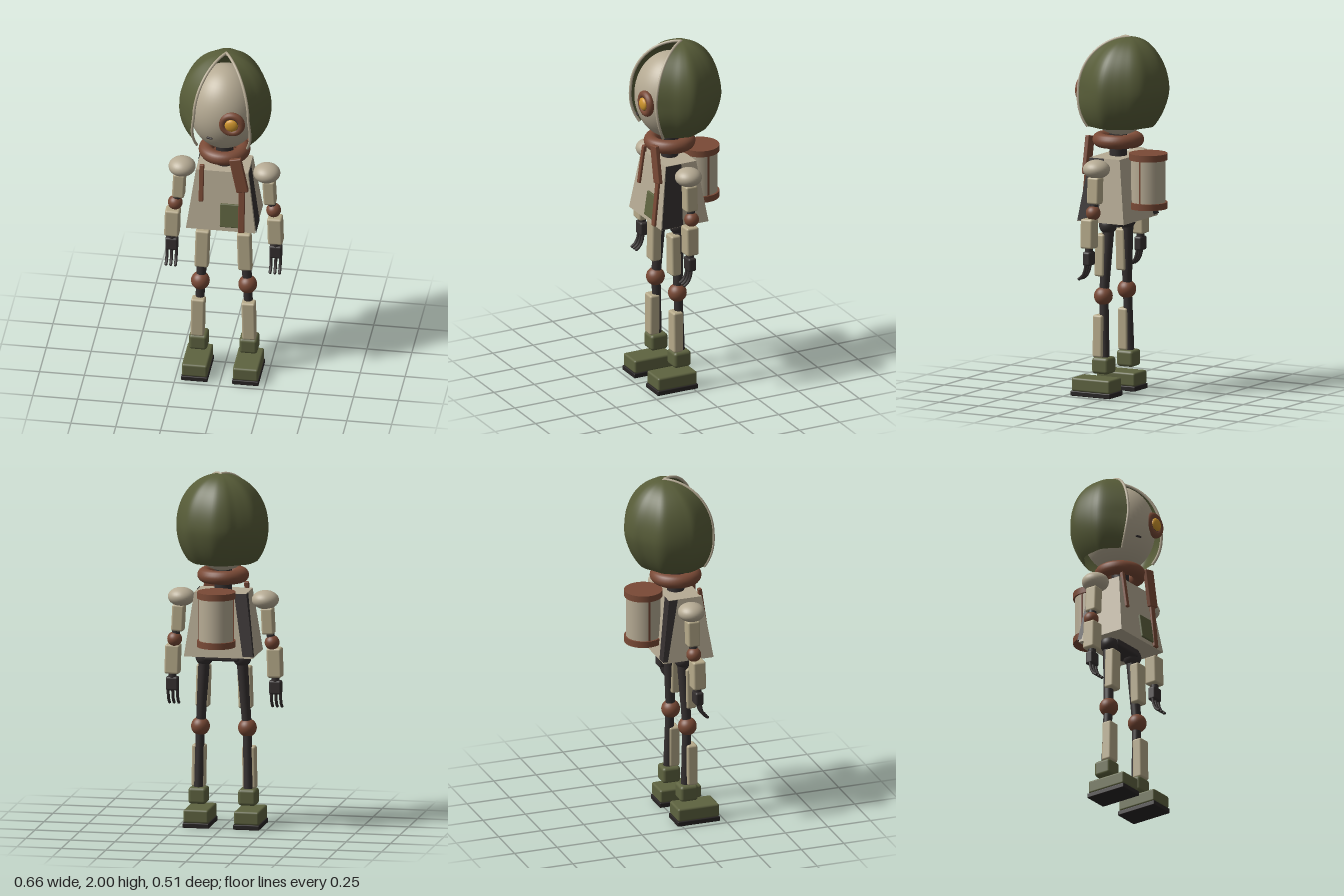
import * as THREE from 'three';
import { RoundedBoxGeometry } from 'three/addons/geometries/RoundedBoxGeometry.js';

const mat = (name, color) => Object.assign(new THREE.MeshStandardMaterial({ color }), { name });

export function createModel() {
  const root = new THREE.Group();
  root.name = 'robot';
  const bone = mat('bone', 0xb6ab94), tan = mat('tan', 0xb6aa8a), olive = mat('olive', 0x5e6340);
  const cloth = mat('hoodCloth', 0x575c38), brown = mat('leather', 0x7a4a36), dark = mat('darkMetal', 0x353030);
  const sole = mat('sole', 0x282424), amber = mat('amber', 0xd0962c);
  for (const m of [cloth, dark]) m.side = THREE.DoubleSide;

  const add = (parent, name, geo, material, x = 0, y = 0, z = 0) => {
    const mesh = new THREE.Mesh(geo, material);
    mesh.name = name;
    mesh.position.set(x, y, z);
    parent.add(mesh);
    return mesh;
  };
  const rbox = (w, h, d, r = 0.012) => new RoundedBoxGeometry(w, h, d, 3, r);
  const ball = (r) => new THREE.SphereGeometry(r, 32, 20);
  // Round rod between two points
  const rod = (parent, name, a, b, ra, rb, material) => {
    const p = new THREE.Vector3(...a), q = new THREE.Vector3(...b), d = q.clone().sub(p);
    const mesh = add(parent, name, new THREE.CylinderGeometry(rb, ra, d.length(), 18), material);
    mesh.position.copy(p).lerp(q, 0.5);
    mesh.quaternion.setFromUnitVectors(new THREE.Vector3(0, 1, 0), d.normalize());
    return mesh;
  };

  // Head and face
  const head = new THREE.Group();
  head.name = 'head';
  root.add(head);
  add(head, 'skull', new THREE.SphereGeometry(1, 48, 32), bone, 0, 1.693, 0.03).scale.set(0.2, 0.248, 0.205);
  const eye = new THREE.Group();
  eye.name = 'eye';
  eye.position.set(0.067, 1.695, 0.222);
  head.add(eye);
  add(eye, 'eyeRing', new THREE.TorusGeometry(0.053, 0.021, 14, 40), brown);
  add(eye, 'eyeSocket', new THREE.CylinderGeometry(0.055, 0.055, 0.03, 32), dark).rotation.x = Math.PI / 2;
  add(eye, 'eyeLens', ball(0.037), amber, 0, 0, 0.016).scale.z = 0.48;
  add(head, 'mouth', rbox(0.034, 0.01, 0.012, 0.004), dark, -0.058, 1.585, 0.209).rotation.y = -0.3;

  // Hood: a wavy plan outline scaled by an elliptical height profile, open in front
  const plan = new THREE.SplineCurve([
    [0.157, 0.234], [0.198, 0.163], [0.234, 0.109], [0.257, 0.042], [0.234, -0.034], [0.211, -0.088],
    [0.189, -0.132], [0.154, -0.171], [0.1, -0.195], [0.046, -0.216], [0, -0.227], [-0.043, -0.221],
    [-0.088, -0.204], [-0.118, -0.18], [-0.168, -0.146], [-0.218, -0.105], [-0.239, -0.052],
    [-0.25, 0.048], [-0.239, 0.118], [-0.148, 0.236],
  ].map(([x, z]) => new THREE.Vector2(x, z))).getSpacedPoints(72);
  const rows = 30, cols = plan.length;
  const hoodPoint = (i, j) => {
    const phi = (i / rows) * 2.3, low = Math.max(0, -Math.cos(phi)) / 0.667;
    const p = plan[j], a = Math.atan2(p.x, p.y) + 0.16 * low * (1 - 2 * j / (cols - 1));
    const r = p.length() * Math.sin(phi);
    return new THREE.Vector3(Math.sin(a) * r, 1.7 + 0.297 * Math.cos(phi), -0.03 + 0.03 * low + Math.cos(a) * r);
  };
  const pos = [], index = [];
  for (let i = 0; i <= rows; i++) for (let j = 0; j < cols; j++) {
    pos.push(...hoodPoint(Math.max(i, 0.01), j).toArray());
    if (i === rows || j === cols - 1) continue;
    const a = i * cols + j, b = a + cols;
    index.push(a, b, a + 1, b, b + 1, a + 1);
  }
  const hoodGeo = new THREE.BufferGeometry();
  hoodGeo.setAttribute('position', new THREE.Float32BufferAttribute(pos, 3));
  hoodGeo.setIndex(index);
  hoodGeo.computeVertexNormals();
  add(head, 'hood', hoodGeo, cloth);
  for (const j of [0, cols - 1]) {
    const path = new THREE.CatmullRomCurve3(Array.from({ length: 16 }, (_, k) => hoodPoint(k * 2, j)));
    add(head, 'hoodTrim', new THREE.TubeGeometry(path, 40, 0.008, 8), bone);
  }
  add(head, 'hoodButton', ball(0.013), bone, 0, 1.99, -0.03).scale.y = 0.7;

  // Neck and scarf
  rod(root, 'neck', [0, 1.3, 0.04], [0, 1.5, 0.04], 0.048, 0.048, dark);
  const scarf = add(root, 'scarf', new THREE.TorusGeometry(0.104, 0.039, 16, 48), brown, 0, 1.418, 0.04);
  scarf.rotation.x = Math.PI / 2;
  add(root, 'scarfTail', rbox(0.068, 0.215, 0.026, 0.006), brown, 0.1, 1.335, 0.174).rotation.z = 0.2;
  const tip = add(root, 'scarfTip', rbox(0.036, 0.27, 0.016, 0.005), brown, 0.116, 1.113, 0.185);
  tip.rotation.x = -0.1;

  // Coat: tapered box, with dark panels lying on its slopes
  const coatPoint = (u, t, v) => new THREE.Vector3(
    u * (0.145 + 0.048 * t), 1.33 - 0.353 * t, 0.045 + v * (0.095 + 0.052 * t));
  const coatGeo = new THREE.BoxGeometry(2, 1, 2).toNonIndexed(), cp = coatGeo.attributes.position;
  for (let i = 0; i < cp.count; i++) {
    const p = coatPoint(cp.getX(i), 0.5 - cp.getY(i), cp.getZ(i));
    cp.setXYZ(i, p.x, p.y, p.z);
  }
  coatGeo.computeVertexNormals();
  add(root, 'coat', coatGeo, bone);
  const panel = (corners) => {
    const geo = new THREE.BufferGeometry().setFromPoints(corners.map((c) => coatPoint(...c)));
    geo.setIndex([0, 1, 2, 0, 2, 3]);
    geo.computeVertexNormals();
    add(root, 'coatPanel', geo, dark);
  };
  panel([[1.03, 0, 0.98], [1.03, 0.99, 0.98], [1.03, 0.99, 0.1], [1.03, 0, 0]]);
  panel([[-0.55, 0, -1.04], [-0.72, 0.97, -1.04], [-1.03, 0.97, -1.04], [-1.03, 0, -1.04]]);
  panel([[-1.03, 0, -1.04], [-1.03, 0.97, -1.04], [-1.03, 0.97, -0.85], [-1.03, 0, -0.5]]);
  add(root, 'pelvis', rbox(0.2, 0.07, 0.12), dark, 0, 0.975, 0.04);
  add(root, 'pocket', rbox(0.108, 0.14, 0.016, 0.005), olive, 0.05, 1.072, 0.181).rotation.x = -0.146;
  add(root, 'strap', rbox(0.026, 0.22, 0.022, 0.005), brown, -0.112, 1.255, 0.154).rotation.x = -0.146;

  // Barrel backpack
  const pack = new THREE.Group();
  pack.name = 'backpack';
  pack.position.set(0, 1.203, -0.15);
  root.add(pack);
  add(pack, 'packBody', new THREE.CylinderGeometry(0.096, 0.096, 0.26, 40), bone);
  for (const s of [-1, 1]) {
    add(pack, 'packCap', new THREE.CylinderGeometry(0.106, 0.106, 0.036, 40), brown, 0, s * 0.136, 0);
    add(pack, 'packStrip', new THREE.BoxGeometry(0.008, 0.25, 0.01), brown, s * 0.095, 0, 0);
  }

  for (const s of [-1, 1]) {
    // Arm
    const arm = new THREE.Group();
    arm.name = s > 0 ? 'leftArm' : 'rightArm';
    root.add(arm);
    add(arm, 'shoulder', ball(1), bone, s * 0.236, 1.285, 0.045).scale.set(0.075, 0.052, 0.075);
    rod(arm, 'armRod', [s * 0.24, 1.26, 0.045], [s * 0.274, 1.03, 0.045], 0.024, 0.022, dark);
    add(arm, 'upperArm', rbox(0.068, 0.15, 0.072), tan, s * 0.252, 1.168, 0.045).rotation.z = s * 0.05;
    add(arm, 'elbow', ball(0.041), brown, s * 0.274, 1.046, 0.045);
    add(arm, 'forearm', rbox(0.082, 0.165, 0.074), tan, s * 0.287, 0.932, 0.062).rotation.z = s * 0.03;
    rod(arm, 'wrist', [s * 0.29, 0.86, 0.062], [s * 0.29, 0.81, 0.062], 0.022, 0.022, dark);
    add(arm, 'palm', rbox(0.07, 0.078, 0.048), dark, s * 0.29, 0.793, 0.063);
    for (const dx of [-0.026, 0, 0.026]) {
      const x = s * (0.29 + dx);
      const path = new THREE.CatmullRomCurve3([[0.765, 0.068], [0.725, 0.075], [0.695, 0.09], [0.678, 0.11]]
        .map(([y, z]) => new THREE.Vector3(x, y, z)));
      add(arm, 'finger', new THREE.TubeGeometry(path, 12, 0.0085, 8), dark);
      add(arm, 'fingerTip', ball(0.0085), dark, x, 0.678, 0.11);
    }

    // Leg
    const leg = new THREE.Group();
    leg.name = s > 0 ? 'leftLeg' : 'rightLeg';
    root.add(leg);
    add(leg, 'hip', ball(0.05), dark, s * 0.106, 0.953, 0.045);
    rod(leg, 'thighRod', [s * 0.106, 0.95, 0.04], [s * 0.131, 0.56, 0.058], 0.032, 0.026, dark);
    add(leg, 'thighPlate', rbox(0.078, 0.236, 0.058), tan, s * 0.118, 0.787, 0.076).rotation.z = s * 0.03;
    add(leg, 'knee', ball(0.052), brown, s * 0.132, 0.56, 0.06);
    rod(leg, 'shinRod', [s * 0.132, 0.55, 0.056], [s * 0.14, 0.2, 0.045], 0.025, 0.025, dark);
    add(leg, 'shinPlate', rbox(0.076, 0.236, 0.06), tan, s * 0.142, 0.338, 0.075).rotation.z = s * 0.02;
    add(leg, 'ankleCuff', rbox(0.102, 0.092, 0.104, 0.018), olive, s * 0.14, 0.176, 0.053);
    add(leg, 'boot', rbox(0.142, 0.076, 0.242, 0.012), olive, s * 0.142, 0.064, 0.098);
    add(leg, 'bootSole', rbox(0.147, 0.028, 0.249, 0.005), sole, s * 0.142, 0.014, 0.098);
  }
  return root;
}
